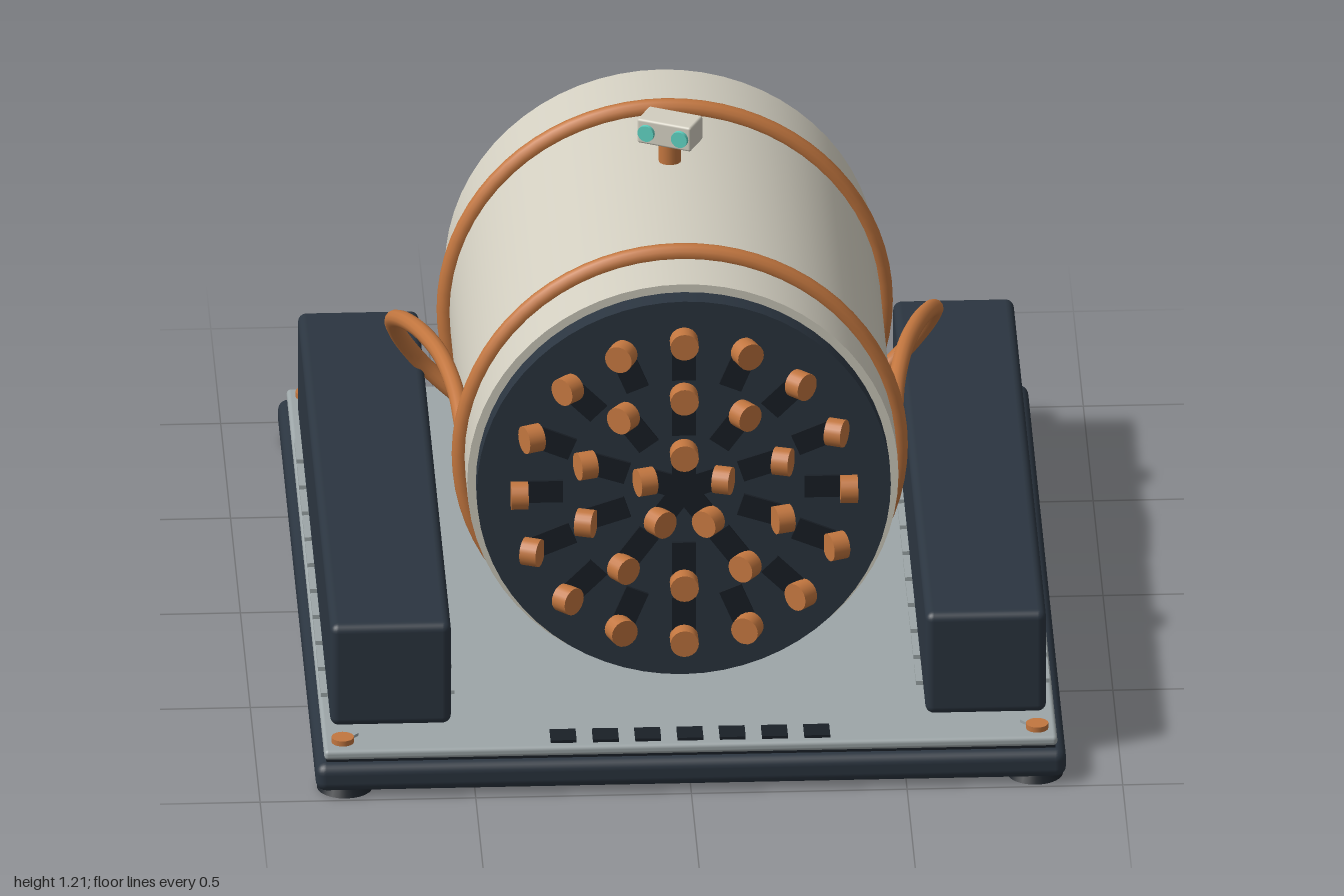
import * as THREE from 'three';
import { RoundedBoxGeometry } from 'three/addons/geometries/RoundedBoxGeometry.js';

const mat = (color) => new THREE.MeshStandardMaterial({ color });

export function createModel() {
  const root = new THREE.Group();
  const navy = mat(0x2b3540), black = mat(0x1a2027), copper = mat(0xc2763f);
  const cream = mat(0xd2cec0), plateGrey = mat(0x9da6a8), teal = mat(0x5fd0c0);

  const add = (name, geo, material, x = 0, y = 0, z = 0, parent = root) => {
    const m = new THREE.Mesh(geo, material);
    m.name = name;
    m.position.set(x, y, z);
    parent.add(m);
    return m;
  };
  const box = (w, h, d) => new THREE.BoxGeometry(w, h, d);
  const rbox = (w, h, d, r) => new RoundedBoxGeometry(w, h, d, 3, r);
  const cyl = (r1, r2, h, n = 24) => new THREE.CylinderGeometry(r1, r2, h, n);

  // Base slab with a deck plate on top
  add('baseSlab', rbox(1.74, 0.07, 1.96, 0.025), navy, 0, 0.05, 0.015);
  add('deckSeam', box(1.69, 0.02, 1.91), black, 0, 0.088, 0.015);
  add('deckPlate', rbox(1.7, 0.025, 1.92, 0.01), plateGrey, 0, 0.1025, 0.015);

  // Feet, corner bolts and their small clips
  for (const sx of [-1, 1]) {
    for (const z of [-0.9, 0.925]) {
      add('foot', cyl(0.05, 0.065, 0.03), black, sx * 0.8, 0.015, z);
      add('cornerBolt', cyl(0.026, 0.026, 0.014, 20), copper, sx * 0.805, 0.121, z);
      const clip = add('boltClip', box(0.014, 0.008, 0.04), plateGrey,
        sx * 0.785, 0.118, z - Math.sign(z) * 0.02);
      clip.rotation.y = sx * Math.sign(z) * 0.7;
    }
  }

  // Row of vents at the front of the deck
  for (let i = -3; i <= 3; i++) add('deckVent', box(0.06, 0.01, 0.06), black, i * 0.098, 0.117, 0.925);

  // Side skids with tread plates peeping out beneath
  for (const sx of [-1, 1]) {
    add('sideSkid', rbox(0.28, 0.26, 1.67, 0.02), navy, sx * 0.69, 0.245, 0.015);
    for (let i = 0; i < 10; i++) {
      add('treadPlate', box(0.31, 0.012, 0.11), plateGrey, sx * 0.69, 0.119, 0.015 + (i - 4.5) * 0.137);
    }
  }

  // Drum body with two hoops
  const drum = new THREE.Group();
  drum.name = 'drum';
  drum.position.y = 0.6;
  root.add(drum);
  add('drumBody', cyl(0.5, 0.5, 1.135, 64), cream, 0, 0, -0.003, drum).rotation.x = Math.PI / 2;
  for (const z of [0.41, -0.355]) {
    add('drumHoop', new THREE.TorusGeometry(0.507, 0.022, 12, 72), copper, 0, 0, z, drum);
  }

  // Cutter head: disc with three rings of holders and rollers
  add('cutterDisc', cyl(0.48, 0.48, 0.06, 64), navy, 0, 0, 0.585, drum).rotation.x = Math.PI / 2;
  for (const [count, r] of [[5, 0.095], [10, 0.24], [16, 0.382]]) {
    for (let i = 0; i < count; i++) {
      const a = (i / count) * Math.PI * 2;
      const dx = -Math.sin(a), dy = Math.cos(a), ri = r - 0.057;
      const holder = add('cutterHolder', box(0.055, 0.09, 0.03), black, dx * ri, dy * ri, 0.607, drum);
      holder.rotation.z = a;
      const roller = add('cutterRoller', cyl(0.033, 0.033, 0.04, 20), copper, dx * r, dy * r, 0.638, drum);
      roller.rotation.set(Math.PI / 2, 0, a);
    }
  }

  // Hoses along both sides of the drum
  const path = [
    [0.5, 0.64, 0.36], [0.51, 0.672, 0.24], [0.535, 0.69, 0.09], [0.572, 0.672, -0.08],
    [0.61, 0.62, -0.26], [0.628, 0.55, -0.4], [0.605, 0.46, -0.49],
    [0.55, 0.375, -0.52], [0.47, 0.3, -0.51], [0.4, 0.255, -0.49],
  ];
  for (const sx of [-1, 1]) {
    const curve = new THREE.CatmullRomCurve3(path.map(([x, y, z]) => new THREE.Vector3(sx * x, y, z)));
    add('sideHose', new THREE.TubeGeometry(curve, 64, 0.02, 12), copper);
    for (const [x, y, z] of [path[0], path[path.length - 1]]) {
      add('hoseEnd', new THREE.SphereGeometry(0.02, 12, 8), copper, sx * x, y, z);
    }
  }

  // Sensor head on a short stem, turned a little to one side
  const sensor = new THREE.Group();
  sensor.name = 'sensor';
  sensor.position.set(0, 1.1, -0.092);
  sensor.rotation.y = -0.44;
  root.add(sensor);
  add('sensorStem', cyl(0.026, 0.026, 0.07, 20), copper, 0, 0.025, 0, sensor);
  add('sensorHead', rbox(0.135, 0.062, 0.076, 0.006), cream, 0, 0.08, 0, sensor);
  for (const x of [-0.042, 0.042]) {
    add('sensorLens', cyl(0.02, 0.02, 0.014, 20), teal, x, 0.08, 0.04, sensor).rotation.x = Math.PI / 2;
  }

  // Rear discharge chute with cross bars
  add('chute', rbox(0.32, 0.075, 0.44, 0.008), copper, 0, 0.29, -0.78);
  for (let i = 0; i < 6; i++) {
    add('chuteBar', box(0.31, 0.018, 0.014), plateGrey, 0, 0.334, -0.945 + i * 0.064);
  }
  return root;
}
